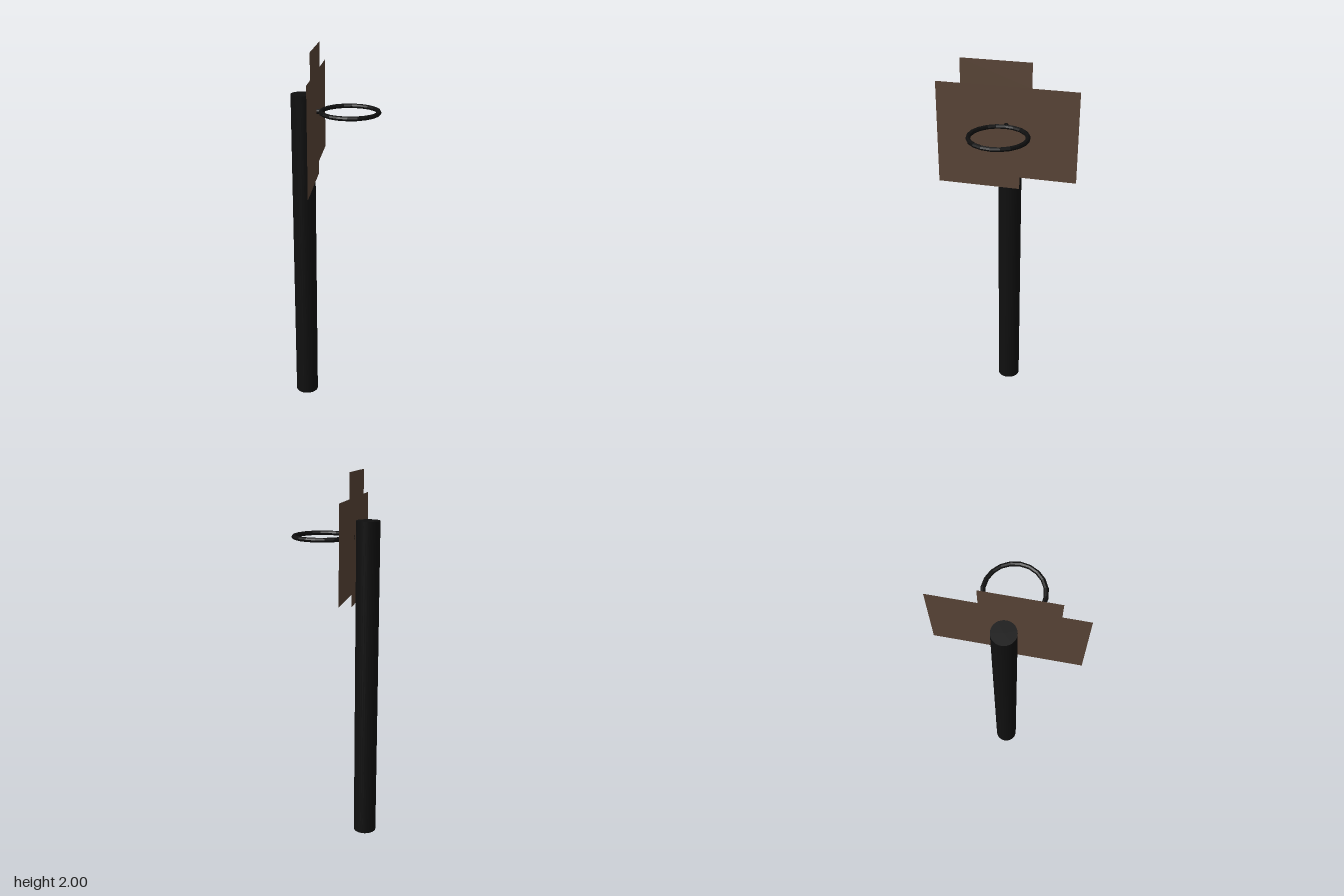
import * as THREE from 'three';

export function createModel() {
  const group = new THREE.Group();
  const black = new THREE.MeshStandardMaterial({ name: 'black metal', color: 0x0f0f0f });
  const brown = new THREE.MeshStandardMaterial({ name: 'brown board', color: 0x5a4537, side: THREE.DoubleSide });

  const add = (name, geometry, material, x, y, z) => {
    const mesh = new THREE.Mesh(geometry, material);
    mesh.name = name;
    mesh.position.set(x, y, z);
    group.add(mesh);
    return mesh;
  };

  // Upright pole
  const poleHeight = 1.755;
  add('pole', new THREE.CylinderGeometry(0.062, 0.062, poleHeight, 32), black, -0.172, poleHeight / 2, -0.002);

  // Stepped backboard: a flat sheet outlined in (-z, y), turned to face +x
  const outline = [
    [-0.375, 1.313], [0.07, 1.313], [0.07, 1.38], [0.372, 1.38],
    [0.372, 1.87], [0.13, 1.87], [0.13, 2], [-0.242, 2],
    [-0.242, 1.87], [-0.375, 1.87],
  ].map(([u, v]) => new THREE.Vector2(u, v));
  const board = add('backboard', new THREE.ShapeGeometry(new THREE.Shape(outline)), brown, -0.1, 0, 0);
  board.rotation.y = Math.PI / 2;

  // Twenty-sided hoop with faceted faces
  const hoop = new THREE.TorusGeometry(0.149, 0.012, 8, 20).rotateX(Math.PI / 2).toNonIndexed();
  hoop.computeVertexNormals();
  add('hoop', hoop, black, 0.071, 1.667, 0.002);

  // Short stub joining hoop and board
  const stub = new THREE.CylinderGeometry(0.0125, 0.0125, 0.025, 12).rotateZ(Math.PI / 2);
  add('hoopBracket', stub, black, -0.0875, 1.667, 0.002);

  return group;
}
